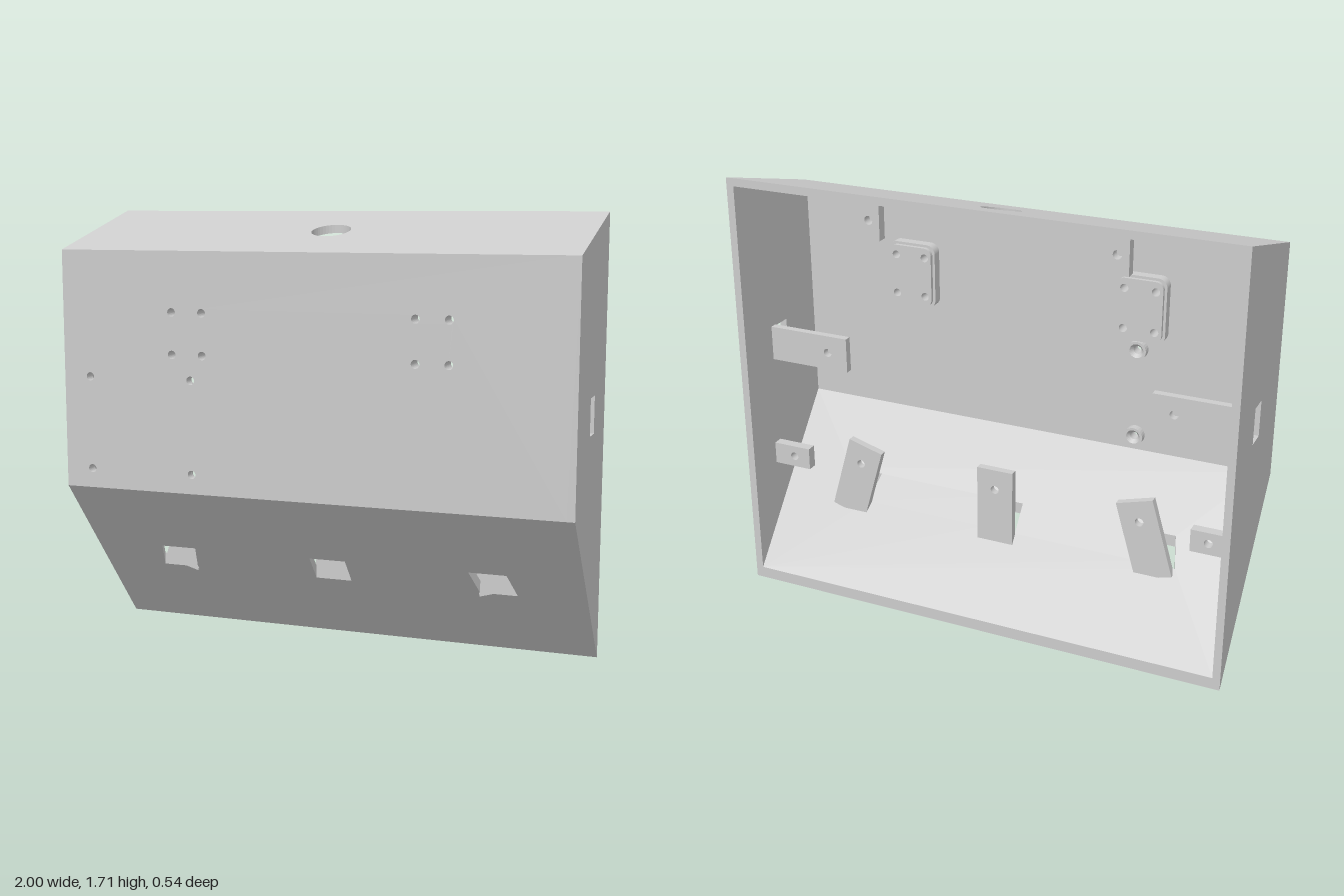
import * as THREE from 'three';

const T = 0.03;                                   // wall thickness
const Z = 0.27;                                   // half depth
const ZI = Z - T;                                 // inner face of the front wall
const floorY = z => 0.645 * (z + Z) / (2 * Z);    // outer surface of sloping floor
const roofY = z => 1.71 - 0.145 * (z + Z) / (2 * Z);
const mat = new THREE.MeshStandardMaterial({ color: 0xcccccc, side: THREE.DoubleSide });

const poly = pts => new THREE.Shape(pts.map(p => new THREE.Vector2(...p)));
const rect = (x0, y0, x1, y1) => poly([[x0, y0], [x1, y0], [x1, y1], [x0, y1]]);
const circle = (x, y, r) => new THREE.Path().absarc(x, y, r, 0, Math.PI * 2);

function extrude(shape, holes, depth) {
  shape.holes.push(...holes);
  return new THREE.ExtrudeGeometry(shape, { depth, bevelEnabled: false, curveSegments: 20 });
}

// Moves every vertex by a rule, then refreshes the flat normals
function reshape(geo, rule) {
  const p = geo.attributes.position;
  for (let i = 0; i < p.count; i++) p.setY(i, rule(p.getX(i), p.getY(i), p.getZ(i)));
  geo.computeVertexNormals();
  return geo;
}

function roundedRect(w, h, r) {
  const s = new THREE.Shape();
  s.absarc(w / 2 - r, h / 2 - r, r, 0, Math.PI / 2);
  s.absarc(-w / 2 + r, h / 2 - r, r, Math.PI / 2, Math.PI);
  s.absarc(-w / 2 + r, -h / 2 + r, r, Math.PI, Math.PI * 1.5);
  s.absarc(w / 2 - r, -h / 2 + r, r, Math.PI * 1.5, Math.PI * 2);
  return s;
}

export function createModel() {
  const model = new THREE.Group();
  const add = (name, geo, x = 0, y = 0, z = 0, rz = 0) => {
    const m = new THREE.Mesh(geo, mat);
    m.name = name;
    m.position.set(x, y, z);
    m.rotation.z = rz;
    model.add(m);
  };

  // Side walls with a slot each
  const side = extrude(
    poly([[-Z, 0], [Z, 0.645], [Z, 1.565], [-Z, 1.71]]),
    [rect(-0.054, 0.91, 0.027, 1.05)], T).rotateY(-Math.PI / 2);
  add('leftWall', side, 1);
  add('rightWall', side, -1 + T);

  // Front wall with screw holes, its ends bevelled to follow floor and roof
  const bossSpots = [[-0.89, 1.08], [-0.465, 1.08], [-0.89, 0.72], [-0.465, 0.72]];
  const screws = [...bossSpots];
  for (const x of [-0.54, -0.416, 0.416, 0.54]) for (const y of [1.175, 1.335]) screws.push([x, y]);
  const front = extrude(rect(-1 + T, 0.645, 1 - T, 1.565),
    screws.map(([x, y]) => circle(x, y, 0.016)), T).translate(0, 0, ZI);
  add('frontWall', reshape(front, (x, y, z) =>
    y < 0.65 ? floorY(z) : y > 1.56 ? roofY(z) : y));

  // Horizontal sheet drawn in plan (x, -z), then sheared onto its slope
  const slab = (holes, thick, rule) => reshape(
    extrude(rect(-1 + T, -ZI, 1 - T, Z), holes, thick).rotateX(-Math.PI / 2),
    (x, y, z) => y + rule(z));

  // Roof with a round opening
  add('roof', slab([circle(0, 0.003, 0.075)], 0.031, z => roofY(z) - 0.031));

  // Sloping floor with three slots, the outer ones slanted
  const lean = 0.28, zBack = -0.036, zFront = 0.044;
  const slotX = [-0.65, 0, 0.65];
  const slots = slotX.map(cx => {
    const at = z => cx - Math.sign(cx) * lean * (floorY(z) - 0.325);
    return poly([[at(zBack) - 0.073, -zBack], [at(zBack) + 0.073, -zBack],
      [at(zFront) + 0.073, -zFront], [at(zFront) - 0.073, -zFront]]);
  });
  add('floor', slab(slots, 0.047, floorY));

  // Flat plate standing on its base edge, with one hole near the tip
  const plate = (w, l, depth, tip) =>
    extrude(rect(-w / 2, 0, w / 2, l), [circle(0, l - tip, 0.017)], depth);

  // Brackets behind the floor slots
  for (const cx of slotX) {
    const s = Math.sign(cx);
    add('floorBracket', plate(0.15, 0.32, T, 0.085), cx + s * 0.011, 0.285, zBack - T, s * lean);
  }

  // Brackets and cover tabs, mirrored left and right
  for (const s of [1, -1]) {
    add('sideBracket', plate(0.14, 0.345, T, 0.085), s * 0.975, 0.985, -0.084, s * Math.PI / 2);
    add('sideTab', plate(0.09, 0.165, 0.04, 0.07), s * 0.975, 0.51, -0.115, s * Math.PI / 2);
    add('roofTab', plate(0.09, 0.155, 0.04, 0.075), s * 0.49, 1.645, -0.115, Math.PI);

    // Stepped mounting block with four through holes
    const holes = () => [-0.062, 0.062].flatMap(x => [-0.08, 0.08].map(y => circle(x, y, 0.016)));
    add('mountBlock', extrude(roundedRect(0.2, 0.26, 0.035), holes(), 0.04), s * 0.478, 1.255, ZI - 0.04);
    add('mountBlockCap', extrude(roundedRect(0.18, 0.24, 0.03), holes(), 0.015), s * 0.478, 1.255, ZI - 0.055);
  }

  // Round screw bosses with a countersunk bore
  const boss = new THREE.LatheGeometry(
    [[0.038, 0], [0.038, 0.03], [0.028, 0.03], [0.016, 0.015], [0.016, 0]]
      .map(p => new THREE.Vector2(...p)), 24).toNonIndexed().rotateX(-Math.PI / 2);
  boss.computeVertexNormals();
  for (const [x, y] of bossSpots) add('screwBoss', boss, x, y, ZI);

  return model;
}
